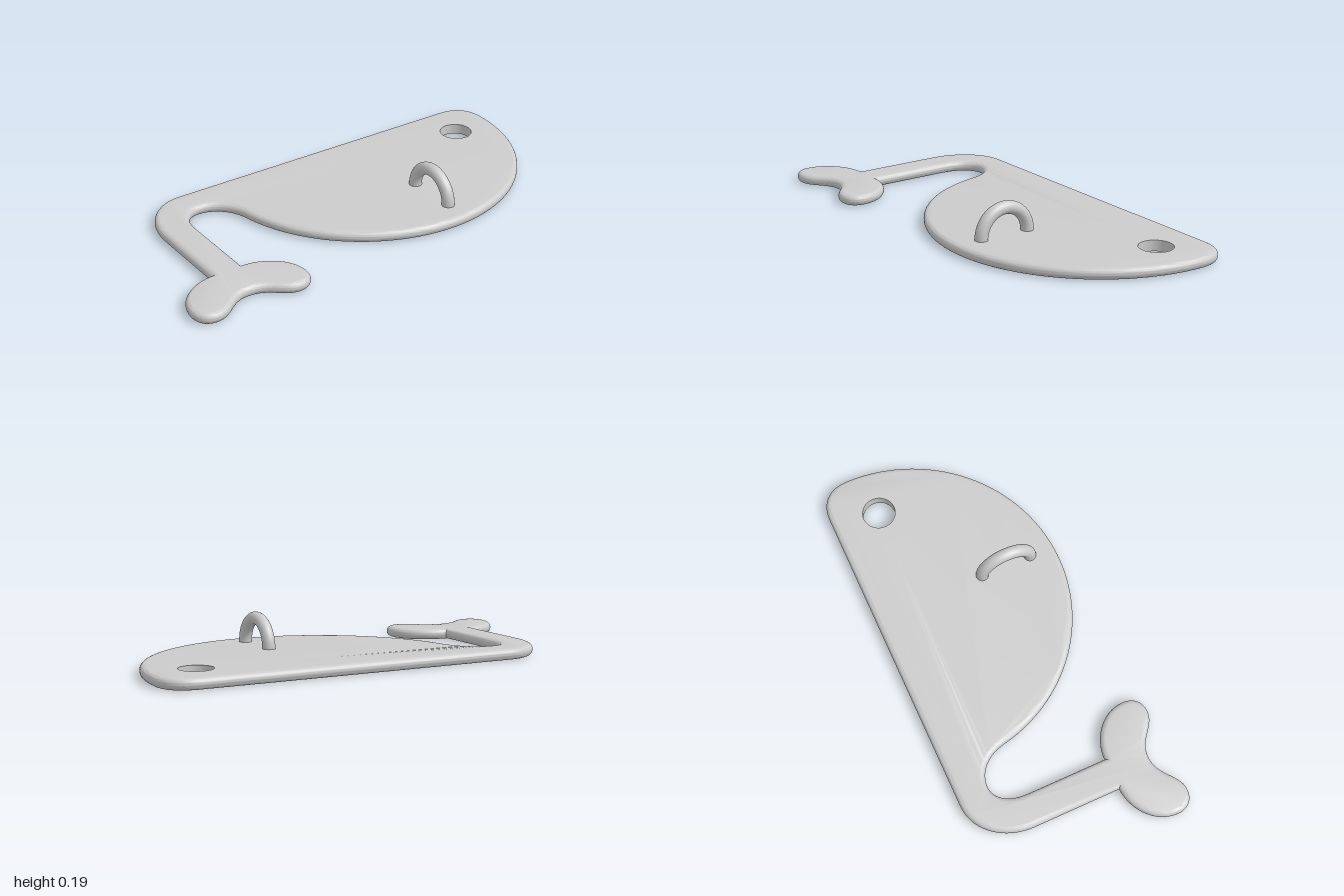
import * as THREE from 'three';
import { toCreasedNormals } from 'three/addons/utils/BufferGeometryUtils.js';

const THICK = 0.048;
const HOLE = { x: 0.783, y: 0.237, r: 0.073 };

// Outline drawn in plan: shape y points to the back (-z)
function plateShape() {
  const s = new THREE.Shape();
  const tx = -0.732, half = 0.07; // tail centre line and half stem width
  const cx = 0.28, cy = 0.305, r = 0.715; // belly circle

  // Stem outer side, rounded bend, straight back edge
  s.moveTo(tx - half, -0.19);
  s.lineTo(tx - half, 0.2);
  s.bezierCurveTo(tx - half, 0.34, -0.71, 0.45, -0.59, 0.45);
  s.lineTo(0.85, 0.45);
  s.bezierCurveTo(0.94, 0.45, cx + r, 0.4, cx + r, cy);
  // Round belly, then notch between body and stem
  s.absarc(cx, cy, r, 0, -(Math.PI - 0.197), true);
  s.bezierCurveTo(-0.441, 0.265, -0.505, 0.311, -0.566, 0.311);
  s.bezierCurveTo(-0.62, 0.311, tx + half, 0.26, tx + half, 0.17);
  s.lineTo(tx + half, -0.19);
  // Tail lobes, mirrored about the stem
  s.bezierCurveTo(tx + 0.16, -0.19, tx + 0.267, -0.26, tx + 0.267, -0.37);
  s.bezierCurveTo(tx + 0.267, -0.42, tx + 0.235, -0.45, tx + 0.19, -0.45);
  s.bezierCurveTo(tx + 0.115, -0.45, tx + 0.09, -0.363, tx, -0.363);
  s.bezierCurveTo(tx - 0.09, -0.363, tx - 0.115, -0.45, tx - 0.19, -0.45);
  s.bezierCurveTo(tx - 0.235, -0.45, tx - 0.267, -0.42, tx - 0.267, -0.37);
  s.bezierCurveTo(tx - 0.267, -0.26, tx - 0.16, -0.19, tx - half, -0.19);

  s.holes.push(new THREE.Path().absarc(HOLE.x, HOLE.y, HOLE.r, 0, Math.PI * 2, false));
  return s;
}

function plateGeometry() {
  const bevel = 0.023;
  const geo = new THREE.ExtrudeGeometry(plateShape(), {
    depth: THICK - 2 * bevel,
    curveSegments: 28,
    bevelThickness: bevel,
    bevelSize: bevel,
    bevelOffset: -bevel,
    bevelSegments: 8,
  });
  // Straighten the wall of the eye hole so that only the outer rim is rounded
  const p = geo.attributes.position;
  for (let i = 0; i < p.count; i++) {
    const dx = p.getX(i) - HOLE.x, dy = p.getY(i) - HOLE.y;
    const d = Math.hypot(dx, dy);
    if (d < 0.12) {
      p.setXY(i, HOLE.x + (dx / d) * HOLE.r, HOLE.y + (dy / d) * HOLE.r);
    }
  }
  geo.translate(0, 0, bevel);
  geo.rotateX(-Math.PI / 2);
  return toCreasedNormals(geo, 0.7);
}

export function createModel() {
  const group = new THREE.Group();
  const material = new THREE.MeshStandardMaterial({ color: 0xcccccc });

  // Flat body with stem, tail and eye hole
  const plate = new THREE.Mesh(plateGeometry(), material);
  plate.name = 'bodyPlate';
  group.add(plate);

  // Half-ring handle standing on the plate
  const loop = new THREE.Mesh(new THREE.TorusGeometry(0.1155, 0.028, 24, 48, Math.PI), material);
  loop.name = 'handleLoop';
  loop.rotation.y = Math.PI / 2;
  loop.position.set(0.317, THICK + 0.002, 0.177);
  group.add(loop);

  // Short feet sinking the handle into the plate
  for (const side of [-1, 1]) {
    const foot = new THREE.Mesh(new THREE.CylinderGeometry(0.028, 0.028, 0.02, 24), material);
    foot.name = side > 0 ? 'handleFootFront' : 'handleFootBack';
    foot.position.set(0.317, THICK - 0.008, 0.177 + side * 0.1155);
    group.add(foot);
  }
  return group;
}
